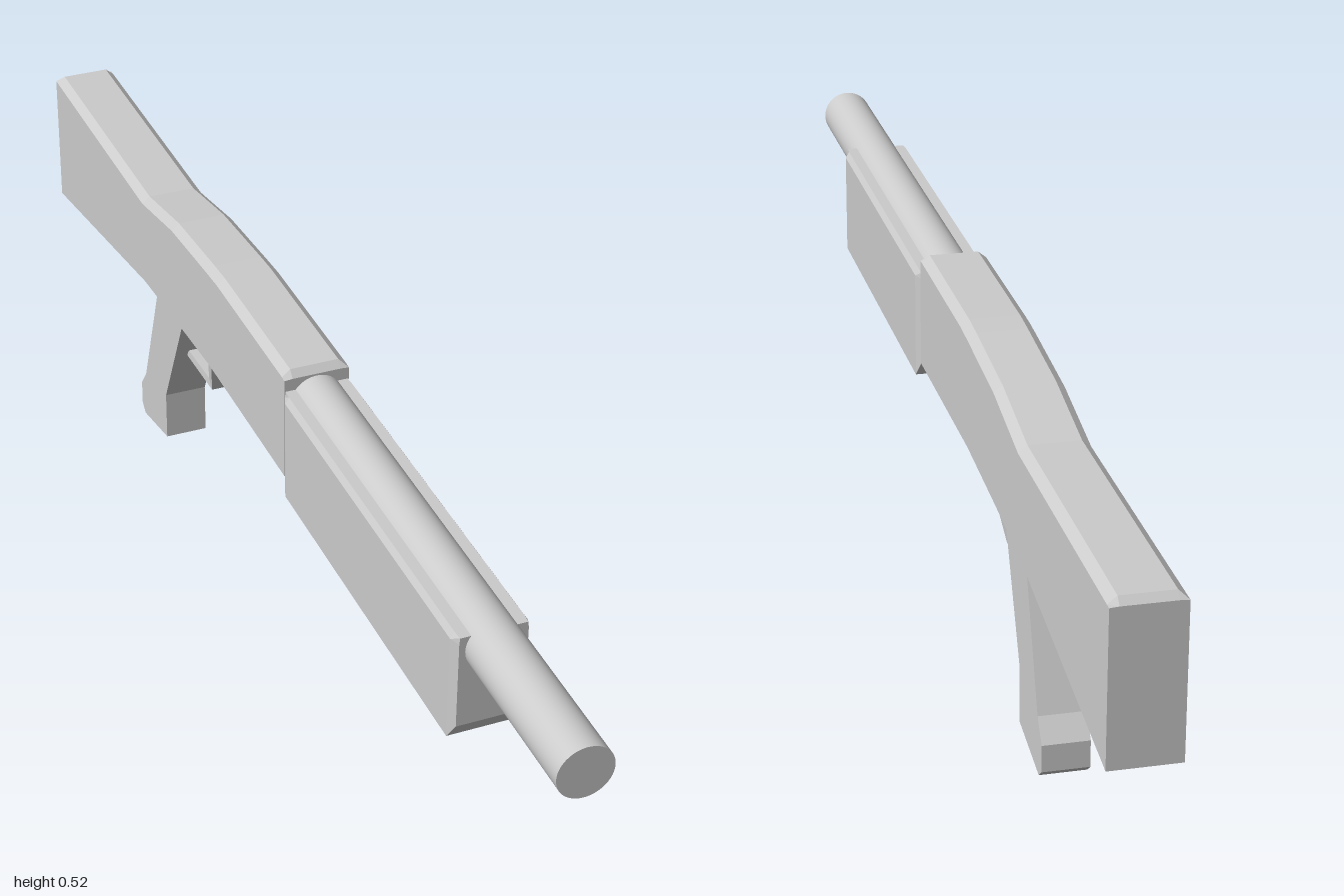
import * as THREE from 'three';

const flat = new THREE.MeshStandardMaterial({ color: 0xcccccc, flatShading: true });
const smooth = new THREE.MeshStandardMaterial({ color: 0xcccccc });

// Skin a row of convex rings running from front to back, capped at both ends
function loft(rings) {
  const pos = [];
  const tri = (...pts) => pts.forEach(p => pos.push(...p));
  const n = rings[0].length;
  for (let i = 0; i < rings.length - 1; i++) {
    for (let j = 0; j < n; j++) {
      const k = (j + 1) % n;
      const a = rings[i][j], b = rings[i][k], c = rings[i + 1][k], d = rings[i + 1][j];
      tri(a, d, c);
      tri(a, c, b);
    }
  }
  const first = rings[0], last = rings[rings.length - 1];
  for (let k = 1; k < n - 1; k++) {
    tri(first[0], first[k], first[k + 1]);
    tri(last[0], last[k + 1], last[k]);
  }
  const g = new THREE.BufferGeometry();
  g.setAttribute('position', new THREE.Float32BufferAttribute(pos, 3));
  g.computeVertexNormals();
  return g;
}

// Box section with chamfered top corners
const section = (z, w, bottom, shoulder, topW, top) => [
  [-w, bottom, z], [w, bottom, z], [w, shoulder, z],
  [topW, top, z], [-topW, top, z], [-w, shoulder, z],
];

// Side profile of [z, y] points extruded across x
function sidePlate(points, halfWidth) {
  const shape = new THREE.Shape(points.map(([z, y]) => new THREE.Vector2(z, y)));
  const g = new THREE.ExtrudeGeometry(shape, { depth: 2 * halfWidth, bevelEnabled: false });
  return g.rotateY(-Math.PI / 2).translate(halfWidth, 0, 0);
}

export function createModel() {
  const model = new THREE.Group();
  const add = (name, geometry, material = flat) => {
    const mesh = new THREE.Mesh(geometry, material);
    mesh.name = name;
    model.add(mesh);
  };

  // Receiver and stock in one sweep: [z, bottom, top]
  const profile = [
    [0.095, 0.335, 0.517], [-0.18, 0.335, 0.517], [-0.225, 0.335, 0.514],
    [-0.39, 0.324, 0.5], [-0.535, 0.313, 0.472], [-0.99, 0.237, 0.472],
  ];
  add('receiverAndStock', loft([
    section(0.105, 0.051, 0.335, 0.505, 0.038, 0.506),
    ...profile.map(([z, b, t]) => section(z, 0.051, b, t - 0.011, 0.038, t)),
    section(-1, 0.051, 0.235, 0.461, 0.038, 0.462),
  ]));

  // Fore-end with chamfered ends
  add('foreEnd', loft([
    section(0.728, 0.05, 0.337, 0.476, 0.049, 0.486),
    section(0.712, 0.056, 0.31, 0.476, 0.05, 0.486),
    section(0.121, 0.056, 0.31, 0.476, 0.05, 0.486),
    section(0.104, 0.05, 0.337, 0.476, 0.049, 0.486),
  ]));

  // Barrel
  add('barrel', new THREE.CylinderGeometry(0.041, 0.041, 0.92, 48)
    .rotateX(Math.PI / 2).translate(0, 0.462, 0.54), smooth);

  // Grip and the collar joining it to the stock
  add('grip', sidePlate([
    [-0.385, 0.325], [-0.49, 0.108], [-0.49, 0.023], [-0.605, 0],
    [-0.62, 0.013], [-0.62, 0.055], [-0.595, 0.088], [-0.517, 0.3], [-0.517, 0.318],
  ], 0.035));
  add('gripCollar', sidePlate([
    [-0.385, 0.33], [-0.385, 0.314], [-0.527, 0.3], [-0.535, 0.318],
  ], 0.041));

  // Tapered trigger guard: [outer z, outer y, outer width, inner z, inner y, inner width]
  const guard = [
    [-0.258, 0.338, 0.035, -0.287, 0.338, 0.031],
    [-0.318, 0.22, 0.013, -0.334, 0.233, 0.012],
    [-0.445, 0.215, 0.013, -0.445, 0.227, 0.012],
  ];
  add('triggerGuard', loft(guard.map(([oz, oy, ow, iz, iy, iw]) => [
    [-ow, oy, oz], [ow, oy, oz], [iw, iy, iz], [-iw, iy, iz],
  ])));
  add('guardPlate', sidePlate([
    [-0.26, 0.338], [-0.268, 0.322], [-0.4, 0.314], [-0.4, 0.33],
  ], 0.033));

  // Trigger
  add('trigger', sidePlate([
    [-0.338, 0.325], [-0.366, 0.262], [-0.385, 0.266], [-0.364, 0.325],
  ], 0.01));

  return model;
}
